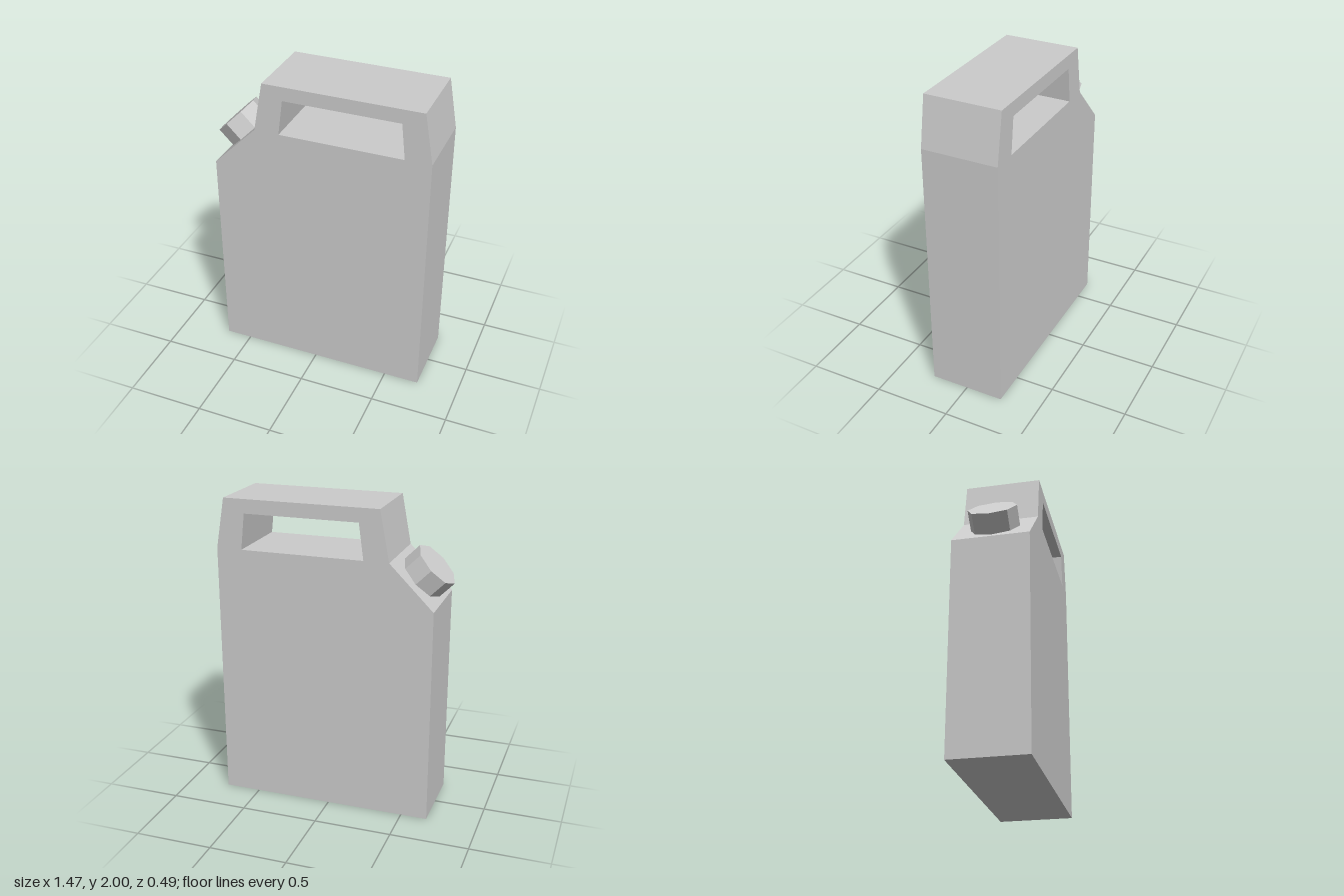
import * as THREE from 'three';

const points = (list) => list.map(([x, y]) => new THREE.Vector2(x, y));

export function createModel() {
  const model = new THREE.Group();
  model.name = 'jerryCan';
  const material = new THREE.MeshStandardMaterial({ color: 0xcccccc, flatShading: true });

  // Body: side profile with sloped shoulder and tapered top, handle opening cut through
  const depth = 0.49;
  const profile = new THREE.Shape(points([
    [-0.67, 0], [0.73, 0], [0.73, 1.68], [0.675, 2],
    [-0.33, 2], [-0.39, 1.68], [-0.67, 1.4],
  ]));
  profile.holes.push(new THREE.Path(points([
    [-0.23, 1.68], [-0.2, 1.91], [0.54, 1.91], [0.565, 1.68],
  ])));
  const bodyGeometry = new THREE.ExtrudeGeometry(profile, { depth, bevelEnabled: false });
  bodyGeometry.translate(0, 0, -depth / 2);
  const body = new THREE.Mesh(bodyGeometry, material);
  body.name = 'body';
  model.add(body);

  // Cap: octagonal prism standing square on the sloped shoulder
  const height = 0.14;
  const capGeometry = new THREE.CylinderGeometry(0.158, 0.158, height, 8);
  capGeometry.translate(0, -height / 2, 0);
  const cap = new THREE.Mesh(capGeometry, material);
  cap.name = 'cap';
  cap.position.set(-0.625, 1.63, 0);
  cap.rotation.z = Math.PI / 4;
  model.add(cap);

  return model;
}
